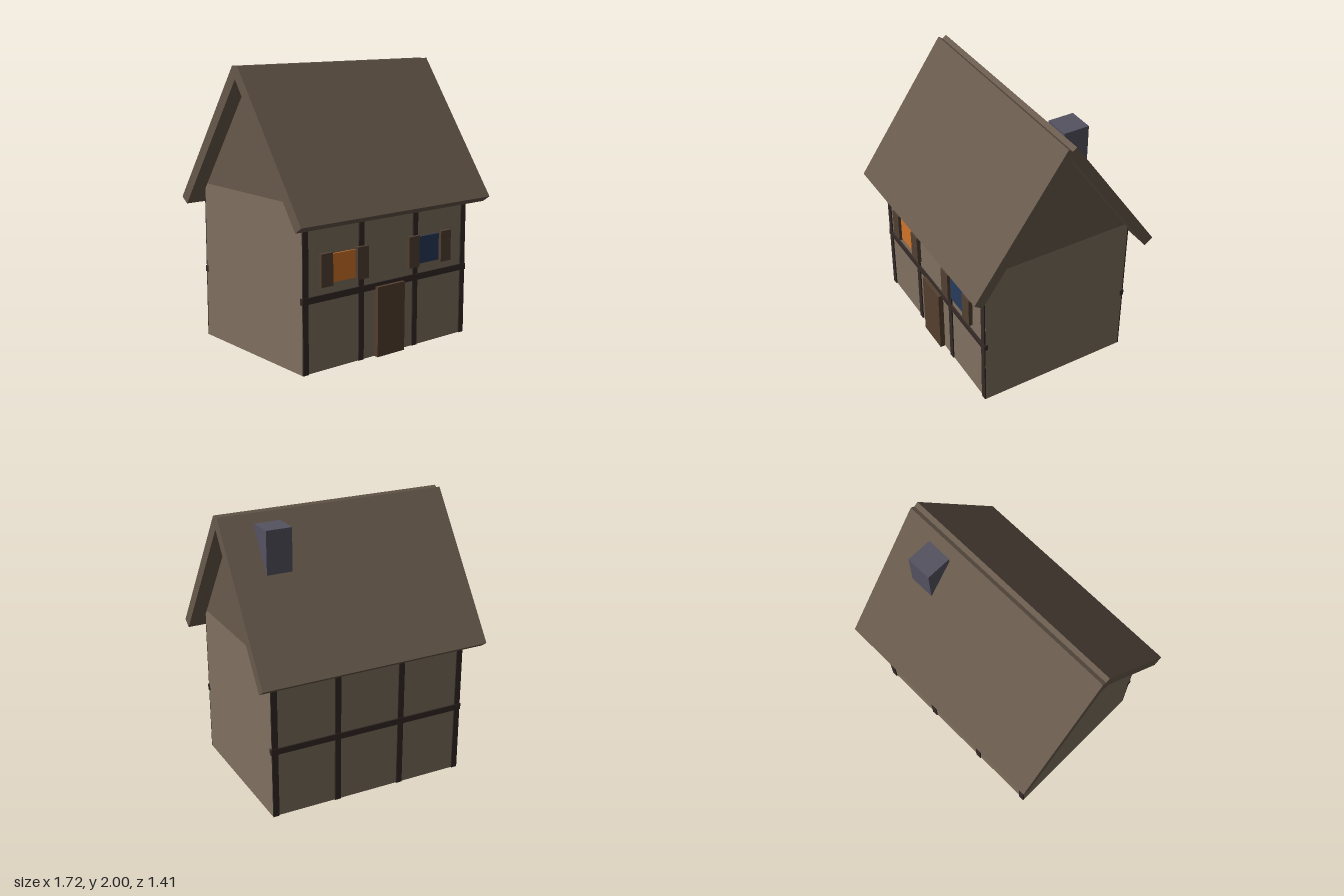
import * as THREE from 'three';

const material = (color) => new THREE.MeshStandardMaterial({ color, flatShading: true });

export function createModel() {
  const house = new THREE.Group();
  house.name = 'house';
  const plaster = material(0x807160);
  const thatch = material(0x685a4c);
  const timber = material(0x352b27);
  const wood = material(0x54402f);
  const shutterWood = material(0x524034);
  const stone = material(0x555361);

  // Box given by its limits on each axis
  function box(name, mat, [x0, x1], [y0, y1], [z0, z1]) {
    const mesh = new THREE.Mesh(new THREE.BoxGeometry(x1 - x0, y1 - y0, z1 - z0), mat);
    mesh.position.set((x0 + x1) / 2, (y0 + y1) / 2, (z0 + z1) / 2);
    mesh.name = name;
    house.add(mesh);
    return mesh;
  }

  // Walls
  box('walls', plaster, [-0.75, 0.75], [0, 1.135], [-0.567, 0.567]);

  // Gable: triangular prism along x, filling the space under the roof
  const triangle = new THREE.Shape([
    new THREE.Vector2(-0.555, 1.135),
    new THREE.Vector2(0.555, 1.135),
    new THREE.Vector2(0, 1.92),
  ]);
  const gableGeometry = new THREE.ExtrudeGeometry(triangle, { depth: 1.5, bevelEnabled: false });
  gableGeometry.translate(0, 0, -0.75).rotateY(Math.PI / 2);
  const gable = new THREE.Mesh(gableGeometry, thatch);
  gable.name = 'gable';
  house.add(gable);

  for (const side of [1, -1]) {
    const end = side > 0 ? 'front' : 'back';

    // Sloping roof slab
    const slab = new THREE.Mesh(new THREE.BoxGeometry(1.72, 0.075, 1.182), thatch);
    slab.position.set(0, 1.493, side * 0.337);
    slab.rotation.x = side * 0.963;
    slab.name = `${end}RoofSlope`;
    house.add(slab);

    // Timber framing on the front and back walls
    const depth = (d) => (side > 0 ? [0.55, d] : [-d, -0.55]);
    for (const x of [-0.727, -0.25, 0.25, 0.727]) {
      box(`${end}Post`, timber, [x - 0.0225, x + 0.0225], [0, 1.1], depth(0.576));
    }
    box(`${end}Beam`, timber, [-0.755, 0.755], [0.48, 0.525], depth(0.579));
  }

  // Door
  box('door', wood, [-0.125, 0.125], [0, 0.5], [0.55, 0.605]);

  // Windows with a shutter on each side
  for (const [x, color] of [[-0.41, 0xd07428], [0.374, 0x293b5a]]) {
    box('window', material(color), [x - 0.102, x + 0.102], [0.595, 0.79], [0.55, 0.579]);
    for (const s of [-1, 1]) {
      const c = x + s * 0.155;
      box('shutter', shutterWood, [c - 0.049, c + 0.049], [0.58, 0.805], [0.57, 0.599]);
    }
  }

  // Chimney rising from the back slope
  box('chimney', stone, [0.437, 0.623], [1.45, 1.945], [-0.28, -0.094]);

  return house;
}
